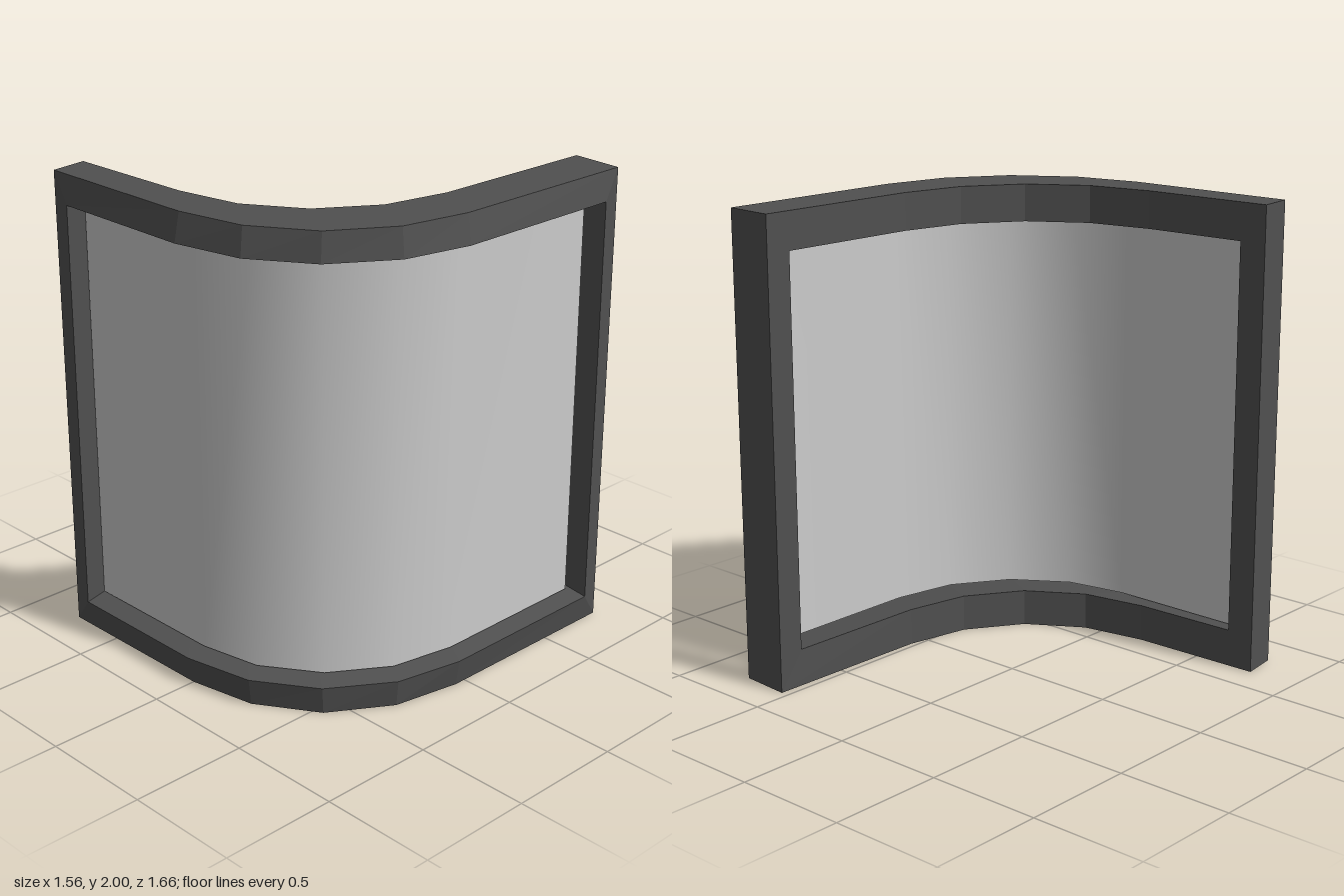
import * as THREE from 'three';

// Plan stations [x, z] along the curved frame, from the left end to the back end.
const outerEdge = [[-0.76, 0.81], [0, 0.805], [0.29, 0.75], [0.54, 0.59], [0.7, 0.34], [0.755, 0.05], [0.76, -0.82]];
const outerLip = [[-0.66, 0.83], [0, 0.83], [0.3, 0.77], [0.55, 0.605], [0.72, 0.35], [0.78, 0.06], [0.78, -0.73]];
const innerLip = [[-0.66, 0.648], [-0.2, 0.635], [0.08, 0.585], [0.315, 0.435], [0.47, 0.2], [0.525, -0.08], [0.534, -0.72]];
const innerEdge = [[-0.78, 0.65], ...innerLip.slice(1, 6), [0.535, -0.835]];
const pane = [[-0.655, 0.745], [0, 0.745], [0.265, 0.695], [0.495, 0.54], [0.65, 0.305], [0.703, 0.03], [0.703, -0.69]];

const HEIGHT = 2;

// Builds a grid of quads from rows of points; closed wraps both directions.
function skin(rows, closed) {
  const n = rows[0].length, m = rows.length, index = [];
  const at = (i, j) => (i % m) * n + (j % n);
  for (let i = 0; i < (closed ? m : m - 1); i++) {
    for (let j = 0; j < (closed ? n : n - 1); j++) {
      const a = at(i, j), b = at(i + 1, j), c = at(i + 1, j + 1), d = at(i, j + 1);
      index.push(a, b, c, a, c, d);
    }
  }
  const geometry = new THREE.BufferGeometry();
  geometry.setAttribute('position', new THREE.Float32BufferAttribute(rows.flat(2), 3));
  geometry.setIndex(index);
  return geometry;
}

// Frame: a four-sided section carried along the bottom rail and back along the top.
function frameGeometry() {
  const loops = [[outerEdge, 0], [outerLip, 0.12], [innerLip, 0.16], [innerEdge, 0]];
  const section = (i, top) => loops.map(([p, y]) => [p[i][0], top ? HEIGHT - y : y, p[i][1]]);
  const bottom = outerEdge.map((_, i) => section(i, false));
  const top = outerEdge.map((_, i) => section(i, true)).reverse();
  const geometry = skin([...bottom, ...top], true).toNonIndexed();
  geometry.computeVertexNormals();
  return geometry;
}

// Curved sheet held inside the frame.
function paneGeometry() {
  const geometry = skin(pane.map(([x, z]) => [[x, 0.143, z], [x, HEIGHT - 0.143, z]]), false);
  geometry.computeVertexNormals();
  return geometry;
}

export function createModel() {
  const group = new THREE.Group();
  group.name = 'curvedWindow';

  const frame = new THREE.Mesh(frameGeometry(), new THREE.MeshStandardMaterial({ color: 0x505050, flatShading: true }));
  frame.name = 'frame';

  const sheet = new THREE.Mesh(paneGeometry(), new THREE.MeshStandardMaterial({ color: 0xcccccc, side: THREE.DoubleSide }));
  sheet.name = 'windowPane';

  group.add(frame, sheet);
  return group;
}
